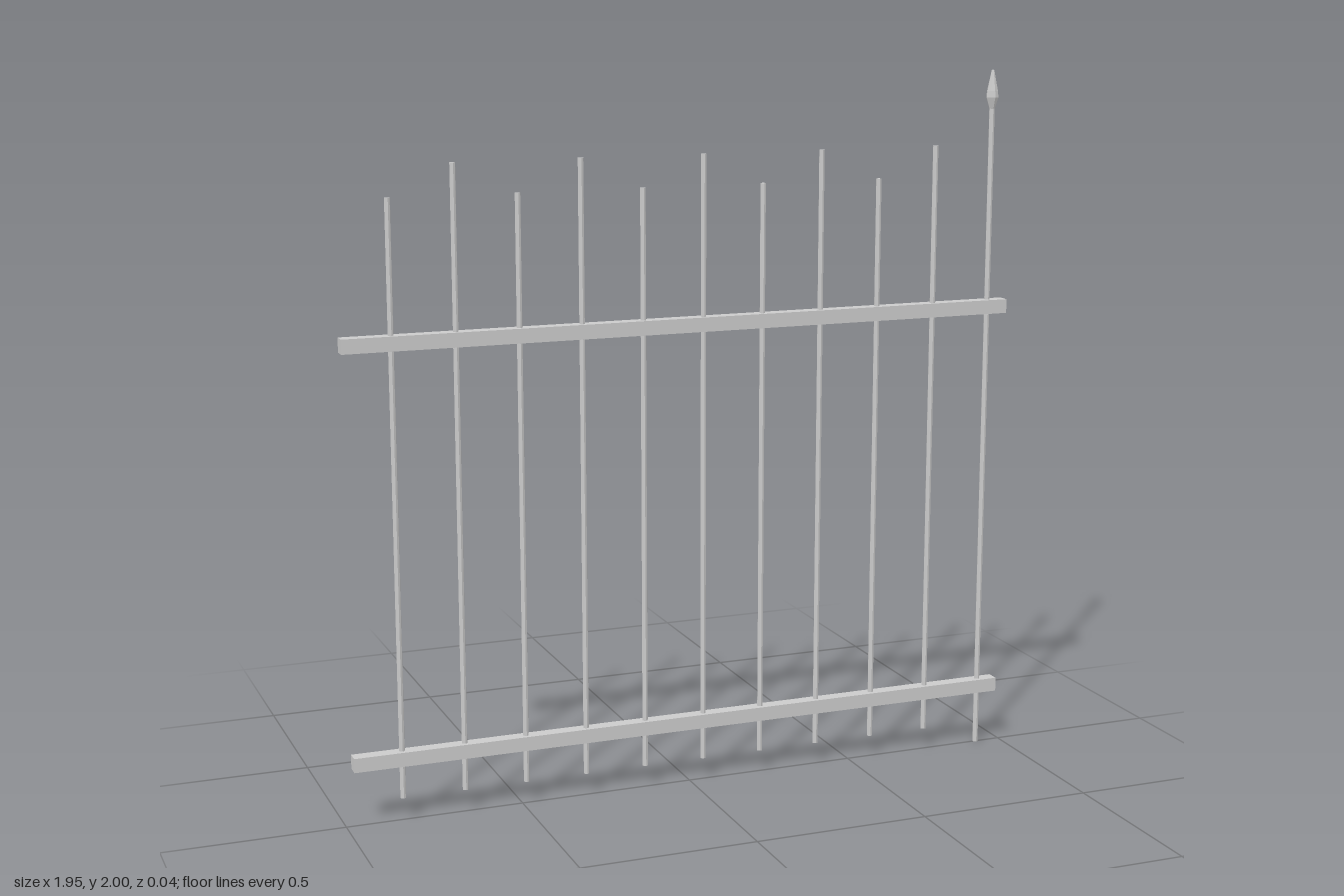
import * as THREE from 'three';

export function createModel() {
  const group = new THREE.Group();
  const material = new THREE.MeshStandardMaterial({ color: 0xcccccc, flatShading: true });

  function add(name, geometry, x, y) {
    const mesh = new THREE.Mesh(geometry, material);
    mesh.name = name;
    mesh.position.set(x, y, 0);
    group.add(mesh);
  }

  function addBar(name, x, bottom, top) {
    add(name, new THREE.CylinderGeometry(0.008, 0.008, top - bottom, 8), x, (bottom + top) / 2);
  }

  // Two square horizontal rails
  const rail = new THREE.BoxGeometry(1.954, 0.04, 0.038);
  add('lowerRail', rail, 0, 0.178);
  add('upperRail', rail, 0, 1.323);

  // Pickets of alternating height
  const firstX = -0.84, spacing = 0.1763;
  for (let i = 0; i < 10; i++) {
    addBar('picket' + (i + 1), firstX + i * spacing, 0.063, i % 2 ? 1.79 : 1.704);
  }

  // Taller end post with a spear finial
  const postX = firstX + 10 * spacing;
  addBar('endPost', postX, 0, 1.91);
  const profile = [[0, 0], [0.008, 0], [0.018, 0.032], [0.016, 0.05], [0.004, 0.108], [0, 0.11]]
    .map(([r, y]) => new THREE.Vector2(r, y));
  add('spearFinial', new THREE.LatheGeometry(profile, 8), postX, 1.89);

  return group;
}
